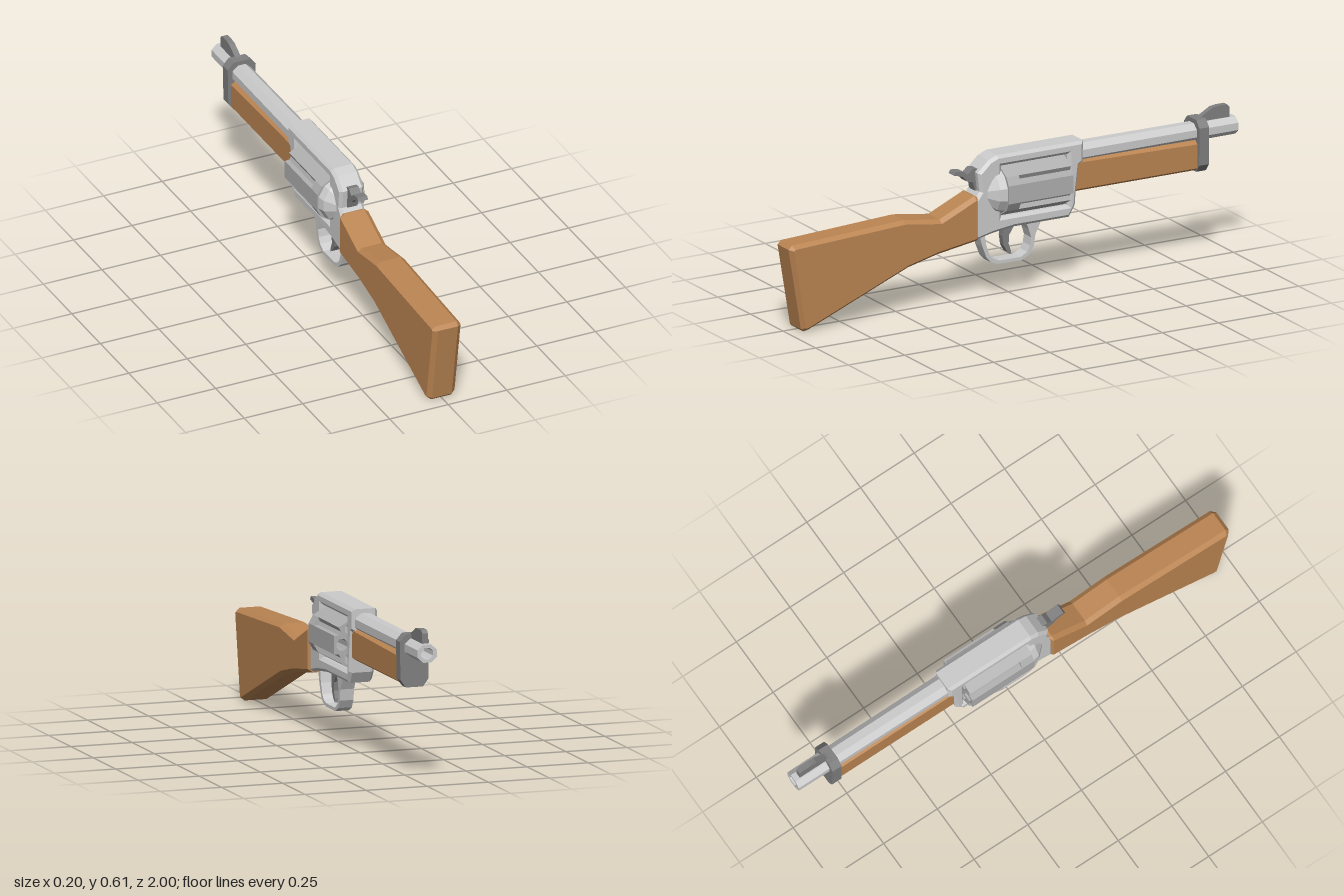
import * as THREE from 'three';

const mat = (color) => new THREE.MeshStandardMaterial({ color, flatShading: true, side: THREE.DoubleSide });
const steel = mat(0xcccccc);
const cylinderSteel = mat(0xb0b0b0);
const darkSteel = mat(0x808080);
const wood = mat(0xbb8552);

const toShape = (pts) => new THREE.Shape(pts.map(([a, b]) => new THREE.Vector2(a, b)));

// Side profile given as (z, y) points, made into a slab of the given half width across x
function slab(name, pts, half, chamfer, material, holes = [], chamferX = chamfer) {
  const shape = toShape(pts);
  for (const h of holes) shape.holes.push(toShape(h));
  const depth = 2 * (half - chamferX);
  const geo = new THREE.ExtrudeGeometry(shape, {
    depth, bevelEnabled: chamfer > 0, bevelSegments: 1,
    bevelSize: chamfer, bevelThickness: chamferX, bevelOffset: -chamfer,
  });
  geo.translate(0, 0, -depth / 2);
  geo.rotateY(-Math.PI / 2);
  const mesh = new THREE.Mesh(geo, material);
  mesh.name = name;
  return mesh;
}

// Turned part along the z axis from (radius, z) points listed back to front
function turned(name, pts, sides, y, material, scaleX = 1) {
  const geo = new THREE.LatheGeometry(pts.map(([r, z]) => new THREE.Vector2(r, -z)), sides, Math.PI / sides);
  geo.rotateX(-Math.PI / 2);
  geo.scale(scaleX, 1, 1);
  const mesh = new THREE.Mesh(geo, material);
  mesh.name = name;
  mesh.position.y = y;
  return mesh;
}

// Section in the xy plane pushed along z
function pushed(name, shape, zFront, zBack, y, material) {
  const geo = new THREE.ExtrudeGeometry(shape, { depth: zBack - zFront, bevelEnabled: false, curveSegments: 4 });
  const mesh = new THREE.Mesh(geo, material);
  mesh.name = name;
  mesh.position.set(0, y, zFront);
  return mesh;
}

const polar = (r, deg) => [r * Math.cos(deg * Math.PI / 180), r * Math.sin(deg * Math.PI / 180)];

// Rotating cylinder: plain rear, fluted front with six open chambers
function buildCylinder() {
  const group = new THREE.Group();
  group.name = 'cylinder';
  const R = 0.106, y = 0.425;
  const rear = [], fluted = [];
  for (let i = 0; i < 6; i++) {
    const a = i * 60;
    rear.push(polar(R, a - 20), polar(R, a + 20));
    fluted.push(polar(R, a - 20), polar(R, a + 20), polar(R * 0.84, a + 25), polar(R * 0.84, a + 35));
  }
  const front = toShape(fluted);
  for (let i = 0; i < 6; i++) {
    const hole = [];
    const [cx, cy] = polar(0.068, i * 60);
    for (let k = 0; k < 8; k++) {
      const [dx, dy] = polar(0.024, k * 45 + 22.5);
      hole.push([cx + dx, cy + dy]);
    }
    front.holes.push(toShape(hole));
  }
  group.add(pushed('cylinderRear', toShape(rear), 0.0, 0.055, y, cylinderSteel));
  group.add(pushed('cylinderFluted', front, -0.232, 0.0, y, cylinderSteel));
  return group;
}

export function createModel() {
  const model = new THREE.Group();
  model.name = 'revolvingCarbine';

  // Wooden shoulder stock
  model.add(slab('stock', [
    [0.16, 0.246], [0.34, 0.218], [0.47, 0.186], [0.915, 0.005], [0.935, 0.002], [0.945, 0.012],
    [1.0, 0.34], [0.985, 0.355], [0.49, 0.38], [0.33, 0.357], [0.175, 0.427], [0.16, 0.42],
  ], 0.06, 0.014, wood, [], 0.018));

  // Frame with cylinder window
  model.add(slab('frame', [
    [0.175, 0.247], [0.175, 0.41], [0.152, 0.44], [0.16, 0.515], [0.112, 0.56], [0.075, 0.575],
    [-0.308, 0.575], [-0.308, 0.49], [-0.29, 0.48], [-0.276, 0.37], [-0.272, 0.32], [-0.245, 0.276],
    [0.0, 0.276], [0.09, 0.265],
  ], 0.052, 0.012, steel, [[[0.056, 0.325], [0.056, 0.53], [-0.238, 0.53], [-0.238, 0.325]]]));

  // Rounded shield behind the cylinder
  model.add(turned('recoilShield', [[0, 0.125], [0.052, 0.125], [0.09, 0.085], [0.098, 0.056], [0, 0.056]], 12, 0.425, steel));
  model.add(buildCylinder());
  model.add(turned('cylinderPin', [[0.018, 0.06], [0.018, -0.25]], 8, 0.425, darkSteel));

  // Octagonal barrel with open bore
  model.add(turned('barrel', [
    [0.0, -0.25], [0.041, -0.25], [0.038, -1.0], [0.024, -1.0], [0.022, -0.9], [0, -0.9],
  ], 8, 0.52, steel, 1.12));

  // Wooden fore-end
  model.add(slab('foreEnd', [[-0.27, 0.37], [-0.27, 0.5], [-0.83, 0.49], [-0.83, 0.37]], 0.045, 0.012, wood, [], 0.018));

  // Barrel band
  const side = [[0.035, 0.365], [0.057, 0.395], [0.06, 0.545], [0.035, 0.573]];
  const band = toShape([...side, ...side.map(([x, y]) => [-x, y]).reverse()]);
  model.add(pushed('barrelBand', band, -0.858, -0.815, 0, darkSteel));

  // Front sight blade
  model.add(slab('frontSight', [
    [-0.82, 0.545], [-0.82, 0.57], [-0.85, 0.575], [-0.9, 0.603], [-0.925, 0.607], [-0.965, 0.607],
    [-0.977, 0.595], [-0.977, 0.545],
  ], 0.012, 0, darkSteel));

  // Hammer with thumb spur
  model.add(slab('hammer', [
    [0.253, 0.515], [0.245, 0.528], [0.212, 0.525], [0.192, 0.509], [0.17, 0.53], [0.14, 0.525],
    [0.12, 0.5], [0.12, 0.44], [0.16, 0.44], [0.168, 0.475], [0.195, 0.482], [0.213, 0.503], [0.235, 0.51],
  ], 0.021, 0, darkSteel));

  // Trigger guard loop
  model.add(slab('triggerGuard', [
    [0.145, 0.262], [0.13, 0.21], [0.112, 0.163], [0.092, 0.142], [0.06, 0.131], [-0.045, 0.13], [-0.08, 0.148],
    [-0.098, 0.18], [-0.105, 0.225], [-0.135, 0.285], [-0.06, 0.285], [-0.075, 0.25], [-0.086, 0.215],
    [-0.081, 0.183], [-0.068, 0.159], [-0.04, 0.143], [0.055, 0.144], [0.083, 0.154], [0.098, 0.172],
    [0.113, 0.214], [0.122, 0.265],
  ], 0.028, 0, steel));

  // Curved trigger
  model.add(slab('trigger', [
    [0.03, 0.28], [0.034, 0.235], [0.028, 0.195], [0.012, 0.168], [-0.006, 0.156],
    [-0.004, 0.172], [0.006, 0.2], [0.004, 0.235], [-0.025, 0.28],
  ], 0.014, 0, darkSteel));

  return model;
}
